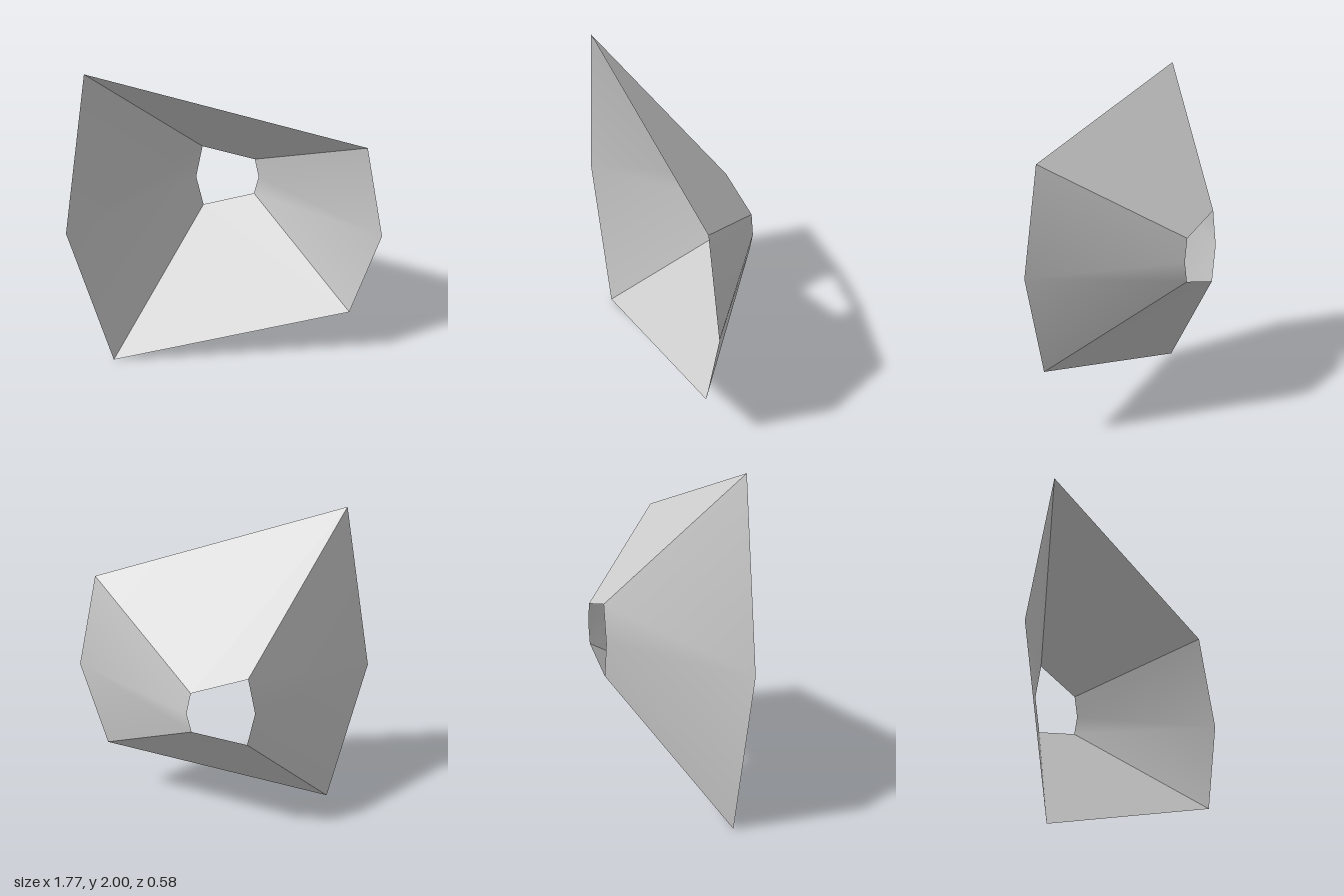
import * as THREE from 'three';

const DEPTH = 0.29; // half depth of the funnel

// Each wall: [outer x, outer y, inner x, inner y] stations, counter-clockwise from the front
const TL = [-0.69, 2, -0.135, 1.22];
const L = [-0.885, 1, -0.177, 1];
const BL = [-0.69, 0, -0.135, 0.79];
const BR = [0.75, 0.425, 0.18, 0.878];
const R = [0.885, 1, 0.206, 1];
const TR = [0.75, 1.582, 0.18, 1.13];

// Strip between the wide front rim and the small rear opening, smooth along its length
function wall(name, stations, material) {
  const positions = [];
  const index = [];
  stations.forEach(([ox, oy, ix, iy], i) => {
    positions.push(ox, oy, DEPTH, ix, iy, -DEPTH);
    if (i > 0) {
      const a = 2 * (i - 1);
      index.push(a, a + 2, a + 1, a + 2, a + 3, a + 1);
    }
  });
  const geometry = new THREE.BufferGeometry();
  geometry.setAttribute('position', new THREE.Float32BufferAttribute(positions, 3));
  geometry.setIndex(index);
  geometry.computeVertexNormals();
  const mesh = new THREE.Mesh(geometry, material);
  mesh.name = name;
  return mesh;
}

export function createModel() {
  const grey = new THREE.MeshStandardMaterial({ color: 0xcccccc, side: THREE.DoubleSide });
  grey.name = 'light grey';

  const funnel = new THREE.Group();
  funnel.name = 'funnel';
  funnel.add(
    wall('rightWall', [TL, L, BL], grey),
    wall('bottomWall', [BL, BR], grey),
    wall('leftWall', [BR, R, TR], grey),
    wall('topWall', [TR, TL], grey),
  );
  return funnel;
}
